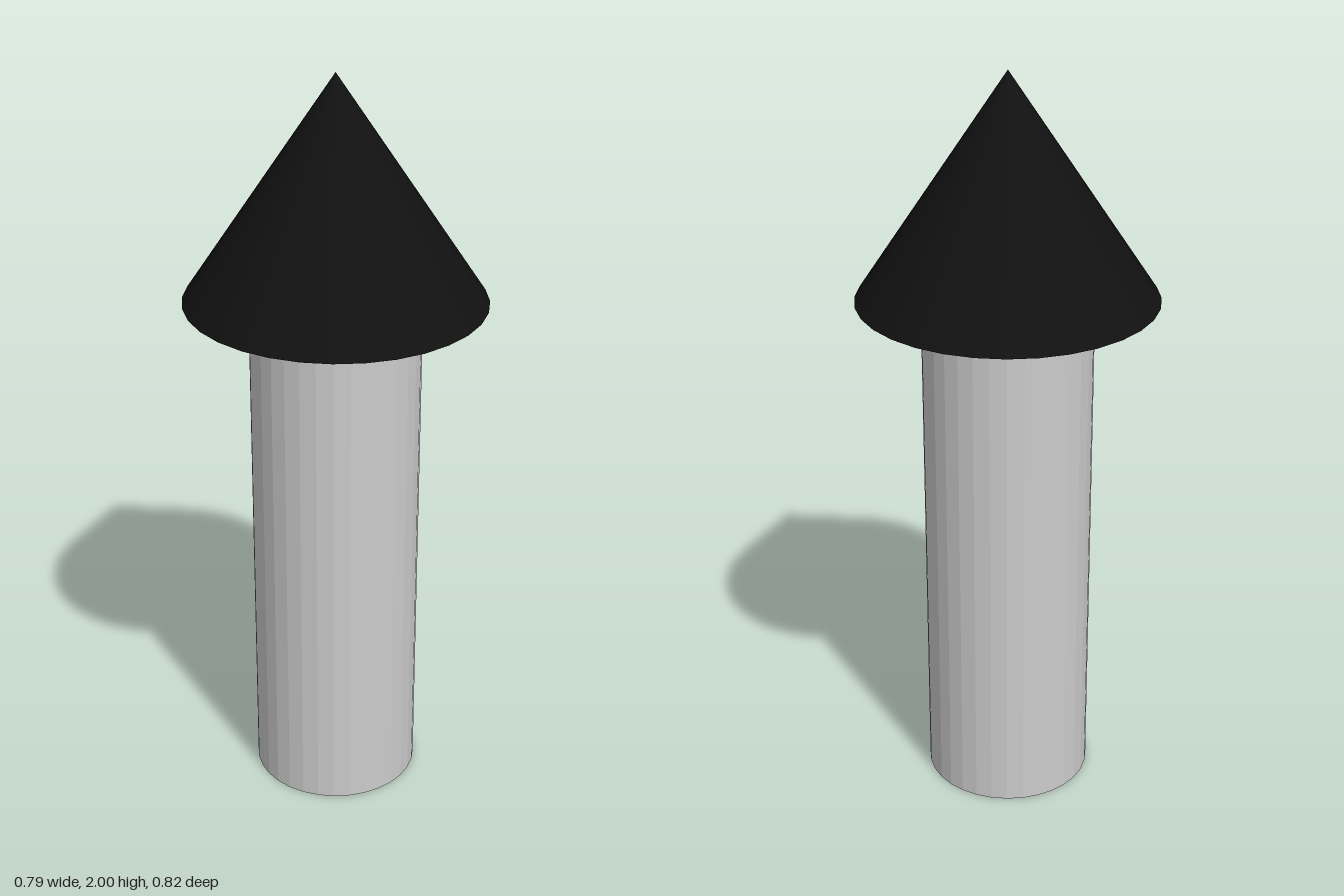
import * as THREE from 'three';

const SIDES = 32;
const HEIGHT = 2;
const SHAFT_TOP = 1.41;

function addPart(group, name, geometry, color, y) {
  const material = new THREE.MeshStandardMaterial({ color, flatShading: true });
  const mesh = new THREE.Mesh(geometry, material);
  mesh.name = name;
  mesh.position.y = y;
  group.add(mesh);
  return mesh;
}

export function createModel() {
  const group = new THREE.Group();
  group.name = 'arrow';

  // Round shaft standing on the ground
  addPart(group, 'shaft', new THREE.CylinderGeometry(0.225, 0.225, SHAFT_TOP, SIDES), 0xcccccc, SHAFT_TOP / 2);

  // Pointed head, slightly deeper than wide
  const headHeight = HEIGHT - SHAFT_TOP;
  const head = addPart(group, 'head', new THREE.ConeGeometry(1, headHeight, SIDES), 0x111111, SHAFT_TOP + headHeight / 2);
  head.scale.set(0.395, 1, 0.41);

  return group;
}
